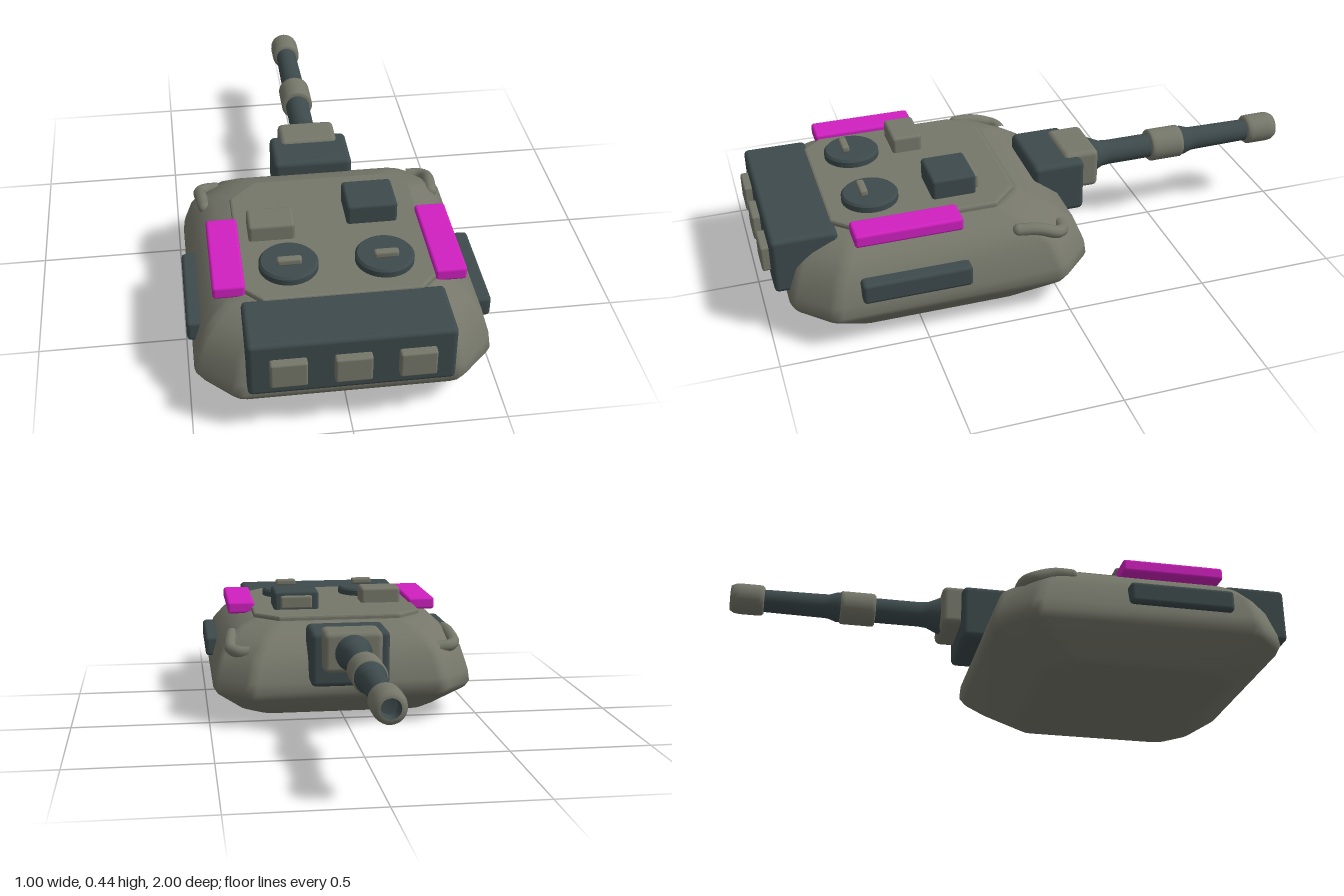
import * as THREE from 'three';
import { RoundedBoxGeometry } from 'three/addons/geometries/RoundedBoxGeometry.js';

const mat = (name, color) => {
  const m = new THREE.MeshStandardMaterial({ color });
  m.name = name;
  return m;
};

export function createModel() {
  const group = new THREE.Group();
  const tan = mat('armour grey', 0x76776a);
  const dark = mat('dark slate', 0x3d4a4c);
  const pink = mat('magenta', 0xd020c0);

  const add = (name, geo, material, x = 0, y = 0, z = 0) => {
    const m = new THREE.Mesh(geo, material);
    m.name = name;
    m.position.set(x, y, z);
    group.add(m);
    return m;
  };
  // Rounded box given by its extents
  const box = (name, material, x0, x1, y0, y1, z0, z1, r = 0.01) =>
    add(name, new RoundedBoxGeometry(x1 - x0, y1 - y0, z1 - z0, 2, r), material,
      (x0 + x1) / 2, (y0 + y1) / 2, (z0 + z1) / 2);

  // Octagonal ring with softened corners, counter-clockwise seen from above
  const ring = ([y, x, z0, z1, c]) => {
    const corners = [[x, z1 - c], [x, z0 + c], [x - c, z0], [c - x, z0],
      [-x, z0 + c], [-x, z1 - c], [c - x, z1], [x - c, z1]];
    const out = [];
    corners.forEach((p, i) => {
      const a = corners[(i + 7) % 8], b = corners[(i + 1) % 8];
      const toward = (q) => {
        const k = 0.025 / Math.hypot(q[0] - p[0], q[1] - p[1]);
        return [p[0] + (q[0] - p[0]) * k, p[1] + (q[1] - p[1]) * k];
      };
      const s = toward(a), e = toward(b);
      const m = [(s[0] + e[0]) / 4 + p[0] / 2, (s[1] + e[1]) / 4 + p[1] / 2];
      for (const q of [s, m, e]) out.push(q[0], y, q[1]);
    });
    return out;
  };

  // Turret shell: y, half width, back z, front z, corner cut
  const rows = [
    [0, 0.345, 0.10, 0.75, 0.085],
    [0.01, 0.375, 0.065, 0.79, 0.09],
    [0.10, 0.468, -0.095, 0.918, 0.12],
    [0.125, 0.482, -0.112, 0.93, 0.125],
    [0.165, 0.477, -0.108, 0.926, 0.125],
    [0.25, 0.452, -0.075, 0.90, 0.12],
    [0.30, 0.412, -0.01, 0.865, 0.115],
    [0.332, 0.37, 0.045, 0.83, 0.105],
    [0.35, 0.32, 0.10, 0.79, 0.09],
  ];
  const n = 24;
  const pos = rows.flatMap(ring);
  const idx = [];
  for (let r = 0; r < rows.length - 1; r++) {
    for (let i = 0; i < n; i++) {
      const a = r * n + i, b = r * n + (i + 1) % n;
      idx.push(a, b, b + n, a, b + n, a + n);
    }
  }
  // Flat caps with their own vertices
  const cap = (row, up) => {
    const base = pos.length / 3;
    pos.push(...ring(row));
    for (let i = 1; i < n - 1; i++) {
      idx.push(base, base + (up ? i : i + 1), base + (up ? i + 1 : i));
    }
  };
  cap(rows[0], false);
  cap(rows[rows.length - 1], true);
  const shell = new THREE.BufferGeometry();
  shell.setAttribute('position', new THREE.Float32BufferAttribute(pos, 3));
  shell.setIndex(idx);
  shell.computeVertexNormals();
  add('turretShell', shell, tan);

  // Raised roof plate
  const plate = new THREE.Shape([[0.31, -0.21], [0.225, -0.125], [-0.225, -0.125], [-0.31, -0.21],
    [-0.31, -0.69], [-0.25, -0.755], [0.25, -0.755], [0.31, -0.69]].map((p) => new THREE.Vector2(...p)));
  const roof = new THREE.ExtrudeGeometry(plate, {
    depth: 0.035, bevelEnabled: true, bevelSize: 0.008, bevelThickness: 0.008, bevelSegments: 2 });
  roof.rotateX(-Math.PI / 2);
  add('roofPlate', roof, tan, 0, 0.325, 0);

  // Storage box on the front with three panels
  box('storageBox', dark, -0.325, 0.325, 0.163, 0.363, 0.75, 0.972, 0.016);
  for (const x of [-0.2, 0, 0.2]) {
    box('storagePanel', tan, x - 0.058, x + 0.058, 0.213, 0.306, 0.95, 1.0, 0.008);
  }

  for (const s of [-1, 1]) {
    // Side panels and roof-edge bars
    add('sidePanel', new RoundedBoxGeometry(0.1, 0.076, 0.37, 2, 0.014), dark, s * 0.448, 0.213, 0.525);
    add('edgeBar', new RoundedBoxGeometry(0.104, 0.046, 0.365, 2, 0.01), pink, s * 0.357, 0.362, 0.527);

    // Round hatch with handle
    const hatch = new THREE.CylinderGeometry(0.09, 0.097, 0.008, 32);
    add('hatchLid', hatch, dark, s * 0.157, 0.392, 0.607);
    add('hatchRim', new THREE.CylinderGeometry(0.097, 0.097, 0.035, 32), dark, s * 0.157, 0.3705, 0.607);
    add('hatchHandle', new RoundedBoxGeometry(0.082, 0.026, 0.028, 2, 0.009), tan, s * 0.157, 0.412, 0.632);

    // Curved lifting lug
    const path = new THREE.CatmullRomCurve3([[0.405, 0.3, 0.155], [0.412, 0.295, 0.09],
      [0.415, 0.272, 0.02], [0.395, 0.266, -0.004], [0.35, 0.262, -0.012]]
      .map(([x, y, z]) => new THREE.Vector3(s * x, y, z)));
    add('liftingLug', new THREE.TubeGeometry(path, 24, 0.022, 10), tan);
    add('lugEnd', new THREE.SphereGeometry(0.022, 12, 8), tan, s * 0.405, 0.3, 0.155);
  }

  // Roof sights
  box('sightBox', tan, -0.273, -0.117, 0.35, 0.427, 0.355, 0.462, 0.012);
  box('opticHousing', dark, 0.064, 0.236, 0.35, 0.439, 0.252, 0.406, 0.012);
  box('opticWindow', tan, 0.09, 0.212, 0.372, 0.422, 0.237, 0.27, 0.008);

  // Gun mantlet
  box('mantlet', dark, -0.142, 0.142, 0.163, 0.363, -0.18, 0.01, 0.02);
  box('mantletCollar', tan, -0.105, 0.105, 0.228, 0.375, -0.248, -0.115, 0.02);

  // Gun parts turned about the barrel axis: pairs of radius, distance
  const turned = (name, material, profile) => {
    const g = new THREE.LatheGeometry(profile.map((p) => new THREE.Vector2(...p)), 28);
    g.rotateX(-Math.PI / 2);
    add(name, g, material, 0, 0.3, 0);
  };
  turned('barrelRear', dark, [[0.067, 0.22], [0.066, 0.25], [0.048, 0.29], [0.045, 0.32], [0.045, 0.49]]);
  turned('barrelSleeve', tan, [[0.04, 0.483], [0.055, 0.483], [0.06, 0.489], [0.06, 0.5],
    [0.06, 0.595], [0.06, 0.604], [0.055, 0.61], [0.04, 0.61]]);
  turned('barrelFront', dark, [[0.054, 0.6], [0.054, 0.62], [0.044, 0.65], [0.043, 0.67], [0.04, 0.9]]);
  turned('muzzle', tan, [[0.036, 0.88], [0.047, 0.88], [0.054, 0.888], [0.055, 0.9],
    [0.055, 0.965], [0.052, 0.985], [0.044, 0.999], [0.032, 1.0]]);
  turned('muzzleBore', dark, [[0.032, 1.0], [0.03, 0.996], [0.028, 0.96], [0.027, 0.955], [0, 0.955]]);

  return group;
}
